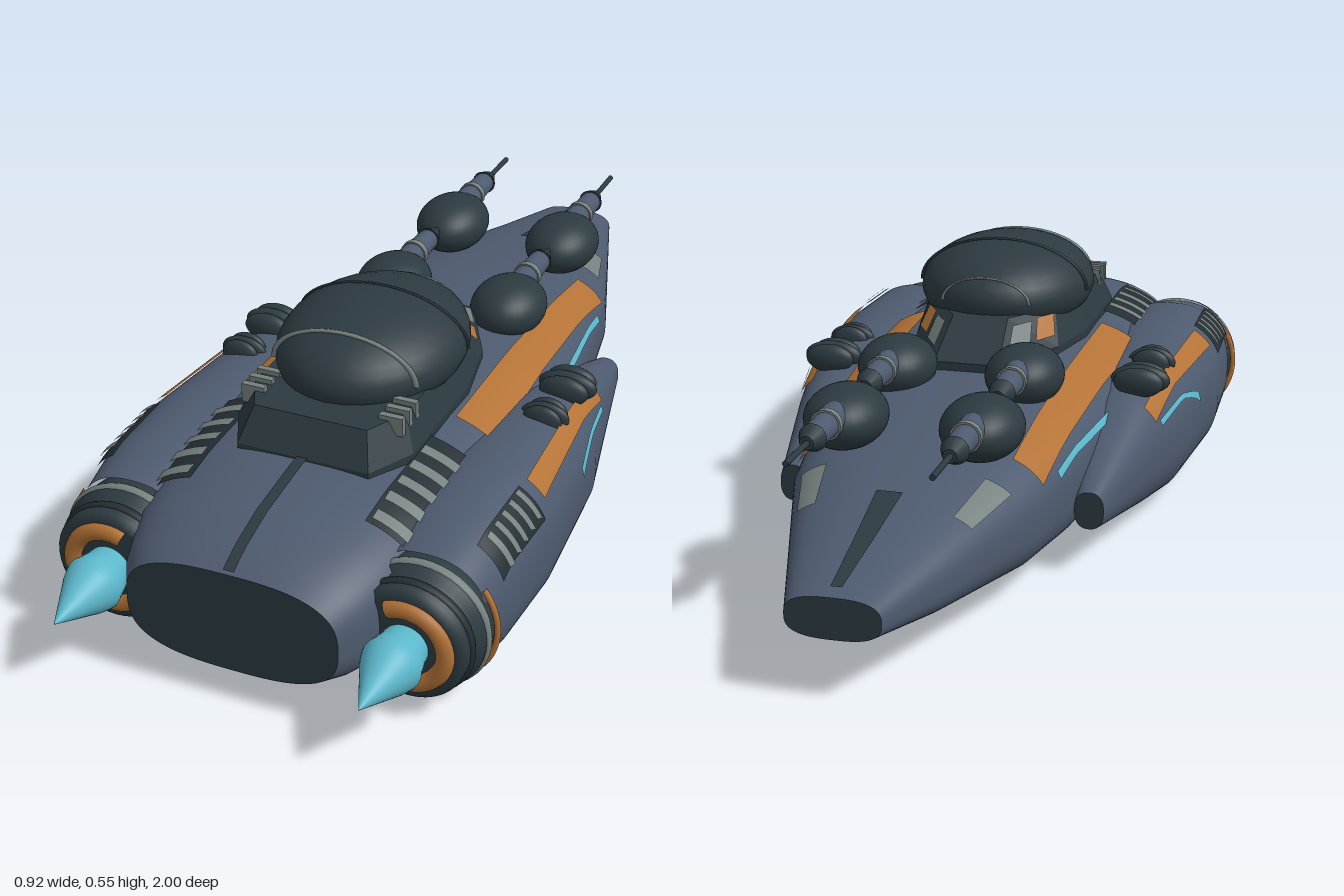
import * as THREE from 'three';

const material = (name, color) => {
  const m = new THREE.MeshStandardMaterial({ color });
  m.name = name;
  return m;
};

export function createModel() {
  const model = new THREE.Group();
  model.name = 'spaceship';
  const hullBlue = material('hull blue grey', 0x4d5a6e);
  const dark = material('dark slate', 0x2c3a40);
  const black = material('vent charcoal', 0x242e33);
  const grey = material('pale grey', 0x75807e);
  const orange = material('orange paint', 0xb37236);
  const cyan = material('cyan glow', 0x5bb6ca);

  const add = (name, geo, mat) => {
    const mesh = new THREE.Mesh(geo, mat);
    mesh.name = name;
    model.add(mesh);
  };
  // Adds a part on the left (+x) and its mirrored copy on the right
  const addPair = (name, geo, mat) => {
    add(name + 'Left', geo, mat);
    const flipped = geo.clone().scale(-1, 1, 1);
    const index = flipped.index;
    for (let i = 0; i < index.count; i += 3) {
      const k = index.getX(i);
      index.setX(i, index.getX(i + 1));
      index.setX(i + 1, k);
    }
    add(name + 'Right', flipped, mat);
  };

  // Skin through equal-length rows of points
  const loft = (rows, closed) => {
    const n = rows[0].length, idx = [];
    for (let i = 0; i < rows.length - 1; i++) {
      for (let j = 0; j < (closed ? n : n - 1); j++) {
        const a = i * n + j, b = i * n + (j + 1) % n;
        idx.push(a, b, a + n, b, b + n, a + n);
      }
    }
    const g = new THREE.BufferGeometry();
    g.setAttribute('position', new THREE.Float32BufferAttribute(rows.flat(2), 3));
    g.setIndex(idx);
    g.computeVertexNormals();
    return g;
  };
  // Flat fan closing a row of points
  const cap = (row, reverse) => {
    const c = [0, 1, 2].map(k => row.reduce((s, p) => s + p[k], 0) / row.length);
    const idx = [];
    row.forEach((_, j) => {
      const a = j + 1, b = (j + 1) % row.length + 1;
      idx.push(0, ...(reverse ? [b, a] : [a, b]));
    });
    const g = new THREE.BufferGeometry();
    g.setAttribute('position', new THREE.Float32BufferAttribute([c, ...row].flat(), 3));
    g.setIndex(idx);
    g.computeVertexNormals();
    return g;
  };

  // Body stations: z, half width, top, bottom
  const hull = { cx: 0, n: 2.8, s: [
    [-1, 0.09, 0.2, 0.12], [-0.8, 0.155, 0.237, 0.08], [-0.5, 0.252, 0.3, 0.04],
    [-0.3, 0.288, 0.328, 0.025], [0, 0.32, 0.352, 0.01], [0.3, 0.327, 0.36, 0.004],
    [0.6, 0.31, 0.355, 0.015], [0.75, 0.28, 0.337, 0.035], [0.84, 0.248, 0.312, 0.052], [0.888, 0.22, 0.288, 0.07]] };
  const nacelle = { cx: 0.312, n: 2.4, s: [
    [-0.33, 0.03, 0.178, 0.1], [-0.05, 0.092, 0.28, 0.045], [0.1, 0.125, 0.31, 0.022],
    [0.4, 0.148, 0.327, 0.01], [0.6, 0.14, 0.322, 0.016], [0.7, 0.125, 0.3, 0.03]] };
  const station = (body, z) => {
    const s = body.s;
    let i = 0;
    while (i < s.length - 2 && z > s[i + 1][0]) i++;
    const t = (z - s[i][0]) / (s[i + 1][0] - s[i][0]);
    return s[i].map((v, k) => v + (s[i + 1][k] - v) * t);
  };
  const point = (body, z, u, lift = 0) => {
    const [, w, top, bot] = station(body, z);
    const f = v => Math.sign(v) * Math.abs(v) ** (2 / body.n);
    return [body.cx + (w + lift) * f(Math.cos(u)),
      (top + bot) / 2 + ((top - bot) / 2 + lift) * f(Math.sin(u)), z];
  };
  const ring = (body, z) => Array.from({ length: 80 }, (_, j) => point(body, z, j / 80 * Math.PI * 2));
  // Painted panel on a body's upper surface, x limits given at both z ends
  const patch = (body, z0, z1, xa, xb, lift = 0.006) => {
    const rows = [];
    const angle = (x, w) => {
      const q = Math.max(-1, Math.min(1, (x - body.cx) / w));
      return Math.acos(Math.sign(q) * Math.abs(q) ** (body.n / 2));
    };
    for (let i = 0; i <= 12; i++) {
      const t = i / 12, z = z0 + (z1 - z0) * t, w = station(body, z)[1];
      const [inner, outer] = [0, 1].map(k => angle(xa[k] + (xb[k] - xa[k]) * t, w));
      rows.push(Array.from({ length: 9 }, (_, j) => point(body, z, outer + (inner - outer) * j / 8, lift)));
    }
    return loft(rows, false);
  };

  // Main hull and end plates
  const hullRings = hull.s.map(s => ring(hull, s[0]));
  add('hull', loft(hullRings, true), hullBlue);
  add('nosePlate', cap(hullRings[0], true), dark);
  add('sternPlate', cap(hullRings.at(-1), false), dark);

  // Side nacelles
  const podRings = nacelle.s.map(s => ring(nacelle, s[0]));
  addPair('nacelle', loft(podRings, true), hullBlue);
  addPair('nacelleTip', cap(podRings[0], true), dark);

  // Hull paint, seams and vents
  addPair('hullStripe', patch(hull, -0.47, 0.3, [0.185, 0.245], [0.2, 0.285]), orange);
  addPair('hullGlowLine', patch(hull, -0.4, -0.08, [0.257, 0.264], [0.293, 0.301]), cyan);
  addPair('nosePanel', patch(hull, -0.7, -0.56, [0.13, 0.165], [0.155, 0.205]), grey);
  add('noseStrip', patch(hull, -0.975, -0.66, [-0.01, 0.01], [-0.025, 0.025]), dark);
  add('sternStrip', patch(hull, 0.55, 0.885, [-0.011, 0.011], [-0.011, 0.011]), dark);
  const keel = [0.7, 0.75, 0.84, 0.888].map(z =>
    [-0.011, 0.011].map(x => [x, station(hull, z)[3] - 0.005, z]));
  add('keelStrip', loft(keel, false), dark);
  addPair('hullVent', patch(hull, 0.39, 0.69, [0.185, 0.29], [0.18, 0.285], 0.007), black);
  for (let i = 0; i < 5; i++) {
    const z = 0.43 + i * 0.056;
    addPair('hullVentSlat' + i, patch(hull, z, z + 0.027, [0.187, 0.285], [0.187, 0.285], 0.012), grey);
  }

  // Nacelle paint and vents
  addPair('nacelleStripe', patch(nacelle, -0.05, 0.41, [0.365, 0.39], [0.395, 0.432]), orange);
  addPair('nacelleGlowLine', patch(nacelle, -0.03, 0.21, [0.395, 0.4], [0.438, 0.443]), cyan);
  addPair('nacelleVent', patch(nacelle, 0.44, 0.64, [0.39, 0.445], [0.385, 0.437]), black);
  for (let i = 0; i < 5; i++) {
    const z = 0.455 + i * 0.036;
    addPair('nacelleVentSlat' + i, patch(nacelle, z, z + 0.017, [0.392, 0.44], [0.392, 0.436], 0.011), grey);
  }

  // Engines, turned around the z axis
  const turn = (profile, y = 0.16) => new THREE.LatheGeometry(
    profile.map(([r, z]) => new THREE.Vector2(r, z)), 40).rotateX(Math.PI / 2).translate(0.312, y, 0);
  const band = (r, tube, z, arc = Math.PI * 2, start = 0) =>
    new THREE.TorusGeometry(r, tube, 10, 48, arc).rotateZ(start).translate(0.312, 0.16, z);
  addPair('engineHousing', turn([[0.13, 0.66], [0.135, 0.7], [0.135, 0.735], [0.122, 0.74], [0.12, 0.79], [0.1, 0.8], [0, 0.8]]), dark);
  addPair('engineBand', band(0.129, 0.012, 0.72), grey);
  addPair('engineCollar', band(0.117, 0.01, 0.765), black);
  addPair('engineNozzle', band(0.081, 0.02, 0.795, 4.36, 3.93), orange);
  addPair('engineBracket', band(0.14, 0.006, 0.69, 1.3, -0.65), orange);
  addPair('engineFlame', turn([[0.046, 0.79], [0.05, 0.82], [0.06, 0.86], [0.052, 0.885], [0.036, 0.92], [0.016, 0.965], [0, 1]]), cyan);

  const ellipsoid = (x, y, z, a, b, c) =>
    new THREE.SphereGeometry(1, 32, 20).scale(a, b, c).translate(x, y, z);

  // Ribbed pods between hull and nacelles
  [[0.03, 0.064, 0.03], [0.165, 0.052, 0.022]].forEach(([z, w, d], p) => {
    for (let i = -1; i <= 1; i++) {
      addPair('ribbedPod' + p + 'Rib' + (i + 1),
        ellipsoid(0.345, 0.308, z + i * d * 0.85, w - Math.abs(i) * 0.01, 0.032, d * 0.72), dark);
    }
  });

  // Turrets with barrels
  const tube = (r0, r1, z0, z1, x, y) => new THREE.CylinderGeometry(r1, r0, z0 - z1, 16)
    .rotateX(-Math.PI / 2).translate(x, y, (z0 + z1) / 2);
  [[-0.5, 0.105, 0.358], [-0.16, 0.1, 0.36]].forEach(([z, len, y], i) => {
    const n = i ? 'rearTurret' : 'frontTurret', f = z - len;
    addPair(n, ellipsoid(0.137, y, z, 0.082, 0.063, len), dark);
    addPair(n + 'Barrel', tube(0.03, 0.024, f + 0.05, f - 0.09, 0.137, y + 0.02), hullBlue);
    addPair(n + 'Collar', tube(0.031, 0.031, f - 0.005, f - 0.02, 0.137, y + 0.02), grey);
    addPair(n + 'Sleeve', tube(0.028, 0.014, f - 0.09, f - 0.125, 0.137, y + 0.02), dark);
    addPair(n + 'Muzzle', tube(0.006, 0.006, f - 0.12, f - (i ? 0.15 : 0.238), 0.137, y + 0.02), dark);
  });

  // Bridge base with sloping sides
  const half = [[0.14, 0.58], [0.19, 0.48], [0.19, 0.2], [0.16, 0.05], [0.07, -0.12]];
  const outline = [...half, ...half.map(([x, z]) => [-x, z]).reverse()];
  const low = outline.map(([x, z]) => [x, 0.325, z]);
  const mid = outline.map(([x, z]) => [x, 0.36, z]);
  const high = outline.map(([x, z]) => [x * 0.86, 0.43, 0.25 + (z - 0.25) * (z < 0.1 ? 0.68 : 0.88)]);
  const base = loft([low, mid, high], true).toNonIndexed();
  base.computeVertexNormals();
  add('bridgeBase', base, dark);
  add('bridgeDeck', cap(high, false), dark);
  // Plates on the angled front facets of the base
  const facet = (a, b, v0, v1) => {
    const P = (u, v) => [0, 1, 2].map(k => {
      const lo = mid[3][k] + (mid[4][k] - mid[3][k]) * u;
      const hi = high[3][k] + (high[4][k] - high[3][k]) * u;
      return lo + (hi - lo) * v + [0.005, 0.003, -0.003][k];
    });
    return loft([[P(a, v0), P(b, v0)], [P(a, v1), P(b, v1)]], false);
  };
  addPair('bridgeWindow', facet(0.08, 0.42, 0.3, 0.85), orange);
  addPair('bridgePanel', facet(0.52, 0.9, 0.25, 0.8), grey);
  for (let i = 0; i < 3; i++) {
    addPair('bridgeVent' + i, new THREE.BoxGeometry(0.05, 0.04, 0.014).translate(0.148, 0.42, 0.42 + i * 0.033), grey);
  }

  // Bridge dome with trim arcs
  add('dome', ellipsoid(0, 0.45, 0.245, 0.19, 0.105, 0.238), dark);
  [[0.385, 0.006, grey], [0.2, 0.004, black], [0.04, 0.004, grey]].forEach(([z, r, mat], i) => {
    const k = Math.sqrt(1 - ((z - 0.245) / 0.238) ** 2);
    const arc = new THREE.TorusGeometry(1, r / 0.12, 8, 40, Math.PI)
      .scale(0.19 * k, 0.105 * k, 0.1).translate(0, 0.45, z);
    add('domeTrim' + i, arc, mat);
  });

  return model;
}
